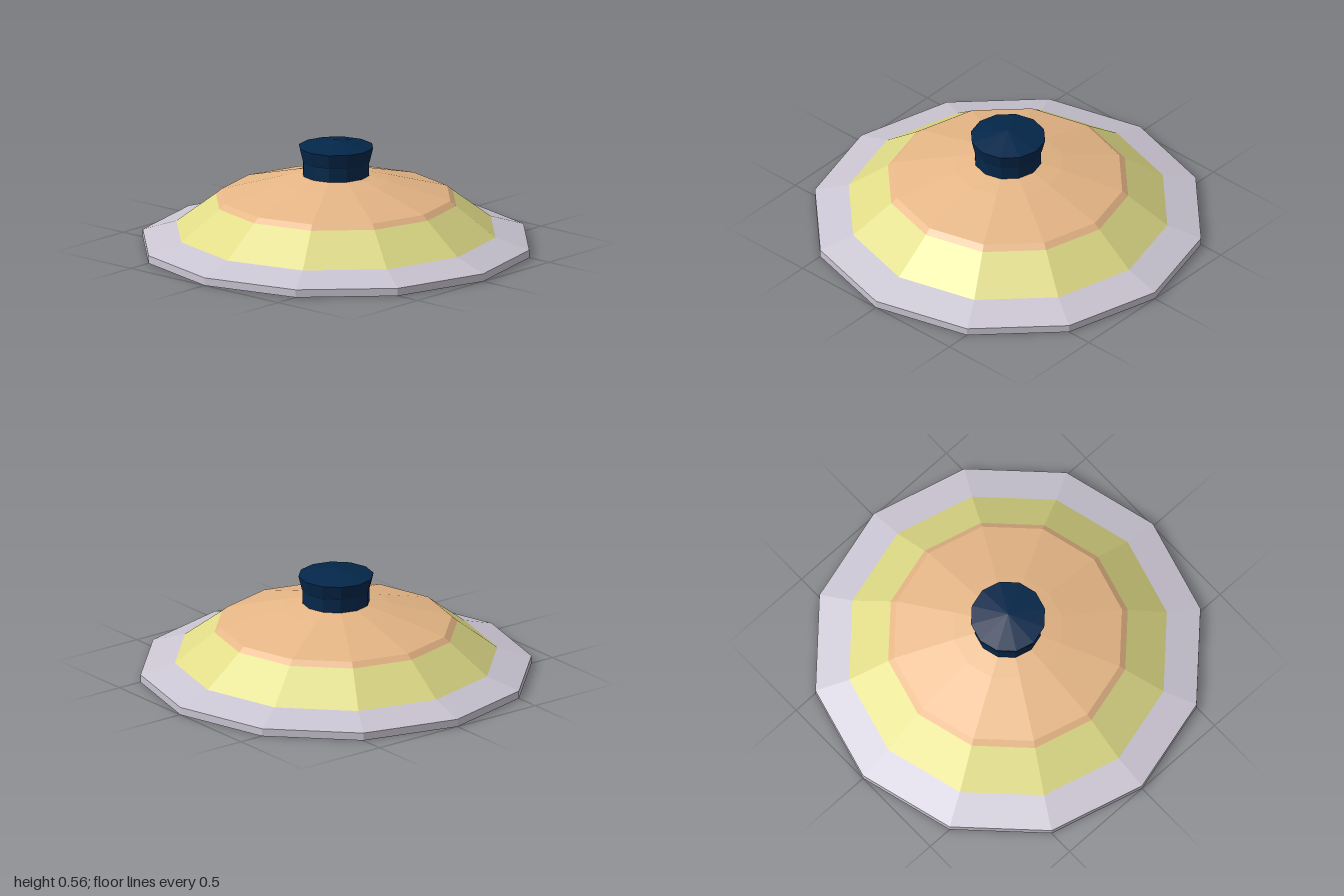
import * as THREE from 'three';

const SIDES = 12;

function paint(name, color) {
  const m = new THREE.MeshStandardMaterial({ color, flatShading: true });
  m.name = name;
  return m;
}

export function createModel() {
  const group = new THREE.Group();
  group.name = 'wideDomedLid';

  const grey = paint('paleGrey', 0xcac5d2);
  const yellow = paint('softYellow', 0xdfdb87);
  const tan = paint('warmTan', 0xe6b686);
  const navy = paint('navyBlue', 0x04274a);
  const mauve = paint('mauve', 0xc0a4d2);
  const purple = paint('deepPurple', 0x9a00cc);

  function add(name, geometry, material) {
    const mesh = new THREE.Mesh(geometry, material);
    mesh.name = name;
    group.add(mesh);
    return mesh;
  }

  // Turned part; profile runs counterclockwise so faces point outward
  function turned(name, material, points) {
    const profile = points.map(([r, y]) => new THREE.Vector2(r, y));
    add(name, new THREE.LatheGeometry(profile, SIDES), material);
  }

  // Outer shell, from the brim up
  turned('brim', grey, [[0.95, 0], [1, 0], [1, 0.04], [0.825, 0.095]]);
  turned('lowerDome', yellow, [[0.825, 0.095], [0.622, 0.25]]);
  turned('cap', tan, [[0.622, 0.25], [0.592, 0.275], [0.28, 0.36], [0.17, 0.385], [0, 0.385]]);

  // Knob with flared top
  turned('knob', navy, [[0.172, 0.38], [0.172, 0.455], [0.175, 0.46], [0.192, 0.53], [0, 0.565]]);

  // Hollow underside with a stepped rim
  turned('innerCone', tan, [[0, 0.37], [0.172, 0.37], [0.805, 0.065]]);
  turned('innerRim', grey, [[0.805, 0.065], [0.805, 0.03]]);
  turned('brimUnderside', mauve, [[0.805, 0.03], [0.95, 0.03]]);
  turned('rimSeam', purple, [[0.95, 0.03], [0.95, 0.024]]);
  turned('brimInnerWall', mauve, [[0.95, 0.024], [0.95, 0]]);

  // Flat purple patches on the underside of the brim, from sector a to sector b
  const at = (sector, r) => {
    const angle = (sector * Math.PI * 2) / SIDES;
    return new THREE.Vector2(r * Math.sin(angle), r * Math.cos(angle));
  };
  for (const [a, b] of [[-2, 2], [4, 5], [6, 8]]) {
    const outline = [];
    for (let s = a; s <= b; s++) outline.push(at(s, 0.95));
    for (let s = b - 0.5; s > a; s--) outline.push(at(s, 0.845));
    const patch = add('undersidePatch', new THREE.ShapeGeometry(new THREE.Shape(outline)), purple);
    patch.rotation.x = Math.PI / 2;
    patch.position.y = 0.027;
  }

  return group;
}
